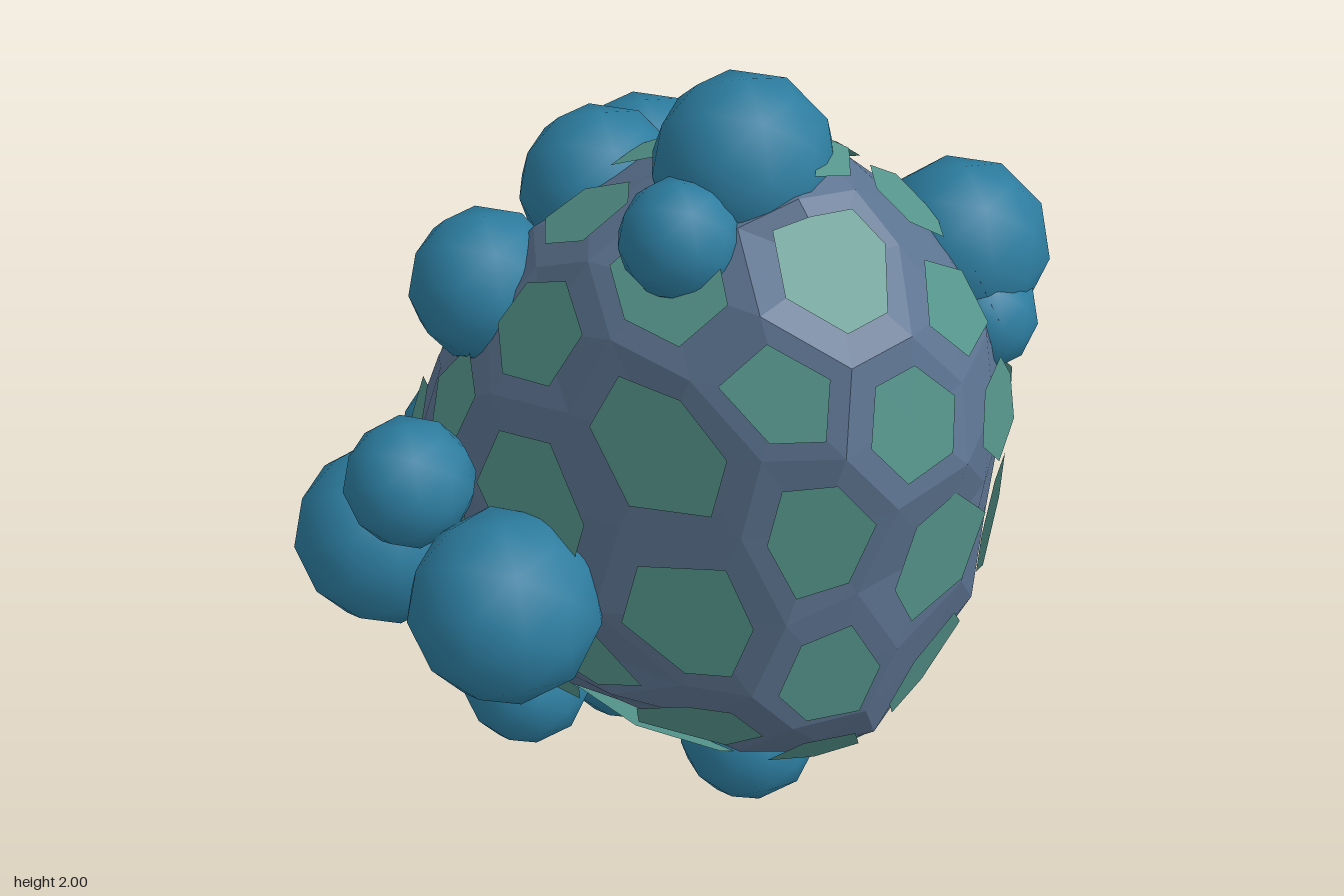
import * as THREE from 'three';
import { ConvexGeometry } from 'three/addons/geometries/ConvexGeometry.js';

// Body extents by height: y, xMin, xMax, zMin, zMax
const LEVELS = [
  [0.17, 0.28, 0.58, -0.1, 0.17], [0.29, -0.53, 0.65, -0.43, 0.34], [0.45, -0.63, 0.78, -0.59, 0.45],
  [0.7, -0.69, 0.83, -0.68, 0.475], [1, -0.64, 0.86, -0.68, 0.475], [1.2, -0.54, 0.87, -0.61, 0.475],
  [1.45, -0.38, 0.81, -0.52, 0.455], [1.65, -0.18, 0.67, -0.41, 0.35], [1.75, -0.01, 0.54, -0.3, 0.23],
  [1.85, 0.2, 0.4, -0.14, 0.12],
];

// Round knobs: x, y, z, radius
const KNOBS = [
  [0.21, 1.785, -0.02, 0.215], [0.125, 1.7, 0.2, 0.143], [-0.2, 1.53, -0.24, 0.205], [-0.14, 1.5, -0.4, 0.195],
  [0.67, 1.48, -0.31, 0.215], [0.75, 1.36, -0.21, 0.135], [-0.42, 1.35, -0.01, 0.193], [-0.51, 0.98, 0.33, 0.163],
  [-0.225, 0.77, 0.465, 0.24], [-0.65, 0.68, 0.18, 0.235], [-0.63, 0.64, -0.32, 0.173], [-0.43, 0.6, -0.53, 0.173],
  [0.53, 0.98, -0.54, 0.143], [0.46, 0.55, -0.53, 0.17], [0.31, 0.42, -0.49, 0.215], [0.45, 0.26, -0.22, 0.215],
  [0.3, 0.22, 0.14, 0.18], [-0.29, 0.27, 0.17, 0.17], [-0.1, 0.205, -0.11, 0.205], [0.07, 0.22, -0.11, 0.2],
];

// Maps a unit direction onto the lopsided body surface
function onBody(d) {
  const y = 1.01 + 0.84 * d.y;
  let i = 0;
  while (i < LEVELS.length - 2 && y > LEVELS[i + 1][0]) i++;
  const a = LEVELS[i], b = LEVELS[i + 1];
  const t = THREE.MathUtils.clamp((y - a[0]) / (b[0] - a[0]), 0, 1);
  const [, x0, x1, z0, z1] = a.map((v, k) => v + (b[k] - v) * t);
  const angle = Math.atan2(d.z, d.x);
  const soft = (v) => Math.sign(v) * Math.abs(v) ** 0.88;
  const c = soft(Math.cos(angle)), s = soft(Math.sin(angle));
  // the front recedes toward the narrow side, the back toward the wide side
  const depth = s > 0 ? 1 + (c < 0 ? 0.38 : 0.15) * c : 1 - 0.27 * Math.max(0, c);
  const x = (x0 + x1) / 2 + (c * (x1 - x0)) / 2;
  // shallow arch in the underside
  const arch = 0.1 * Math.max(0, (0.6 - y) / 0.42) * Math.exp(-(((x - 0.05) / 0.25) ** 2));
  return new THREE.Vector3(x, y + arch, (z0 + z1) / 2 + (s * depth * (z1 - z0)) / 2);
}

// Splits the sphere into irregular cells; each is a ring of corners on the body
function makeCells(count) {
  const points = [];
  for (let i = 0; i < count; i++) {
    const y = 1 - (2 * i + 1) / count, r = Math.sqrt(1 - y * y), a = i * 2.39996;
    points.push(new THREE.Vector3(r * Math.cos(a), y, r * Math.sin(a))
      .add(new THREE.Vector3(Math.sin(i * 7.1), Math.sin(i * 3.7), Math.sin(i * 5.3)).multiplyScalar(0.1))
      .normalize());
  }
  const pos = new ConvexGeometry(points).attributes.position;
  const rings = points.map(() => []);
  for (let f = 0; f < pos.count; f += 3) {
    const tri = [0, 1, 2].map((k) => new THREE.Vector3().fromBufferAttribute(pos, f + k));
    const mid = tri[0].clone().add(tri[1]).add(tri[2]).normalize();
    for (const v of tri) {
      const n = points.findIndex((p) => p.distanceTo(v) < 1e-4);
      if (n >= 0) rings[n].push(mid);
    }
  }
  return points.map((p, n) => {
    const u = new THREE.Vector3(0, 1, 0).cross(p).normalize(), w = p.clone().cross(u);
    return rings[n]
      .sort((a, b) => Math.atan2(a.dot(w), a.dot(u)) - Math.atan2(b.dot(w), b.dot(u)))
      .map(onBody);
  });
}

function centreOf(ring) {
  return ring.reduce((sum, v) => sum.add(v), new THREE.Vector3()).divideScalar(ring.length);
}

// Pulls a corner inward by an uneven amount, so creases run between the plates
function dip(v) {
  const amount = 0.014 + 0.016 * Math.sin(v.x * 17 + v.y * 23 + v.z * 31);
  const inward = new THREE.Vector3(0.12, 1, -0.1).sub(v).normalize();
  return v.clone().addScaledVector(inward, amount);
}

// Flat-shaded triangle fans; the edge rule moves each corner but not the centre
function fans(rings, material, name, edge = (v) => v) {
  const data = [];
  for (const ring of rings) {
    const centre = centreOf(ring);
    ring.forEach((v, i) => {
      for (const p of [centre, edge(v), edge(ring[(i + 1) % ring.length])]) data.push(p.x, p.y, p.z);
    });
  }
  const geometry = new THREE.BufferGeometry();
  geometry.setAttribute('position', new THREE.Float32BufferAttribute(data, 3));
  geometry.computeVertexNormals();
  const mesh = new THREE.Mesh(geometry, material);
  mesh.name = name;
  return mesh;
}

// Shrinks a cell to a flat polygon floating just above its middle
function makePlate(ring) {
  const centre = centreOf(ring), normal = new THREE.Vector3();
  ring.forEach((v, i) => normal.add(
    v.clone().sub(centre).cross(ring[(i + 1) % ring.length].clone().sub(centre))));
  normal.normalize();
  return ring.map((v) => centre.clone()
    .addScaledVector(v.clone().sub(centre).projectOnPlane(normal), 0.68)
    .addScaledVector(normal, 0.014));
}

export function createModel() {
  const model = new THREE.Group();
  model.name = 'knobblyRock';
  const paint = (color) => new THREE.MeshStandardMaterial({ color, flatShading: true, side: THREE.DoubleSide });

  // Faceted body with thin plates
  const cells = makeCells(56);
  model.add(fans(cells, paint(0x5c7390), 'body', dip));
  model.add(fans(cells.map(makePlate), paint(0x55958c), 'plates'));

  // Smooth knobs
  const knobs = new THREE.Group();
  knobs.name = 'knobs';
  const ball = new THREE.IcosahedronGeometry(1, 1);
  const blue = new THREE.MeshStandardMaterial({ color: 0x2c7c9f });
  KNOBS.forEach(([x, y, z, r], i) => {
    const knob = new THREE.Mesh(ball, blue);
    knob.name = `knob${i + 1}`;
    knob.position.set(x, y, z);
    knob.scale.setScalar(r);
    knobs.add(knob);
  });
  model.add(knobs);
  return model;
}
